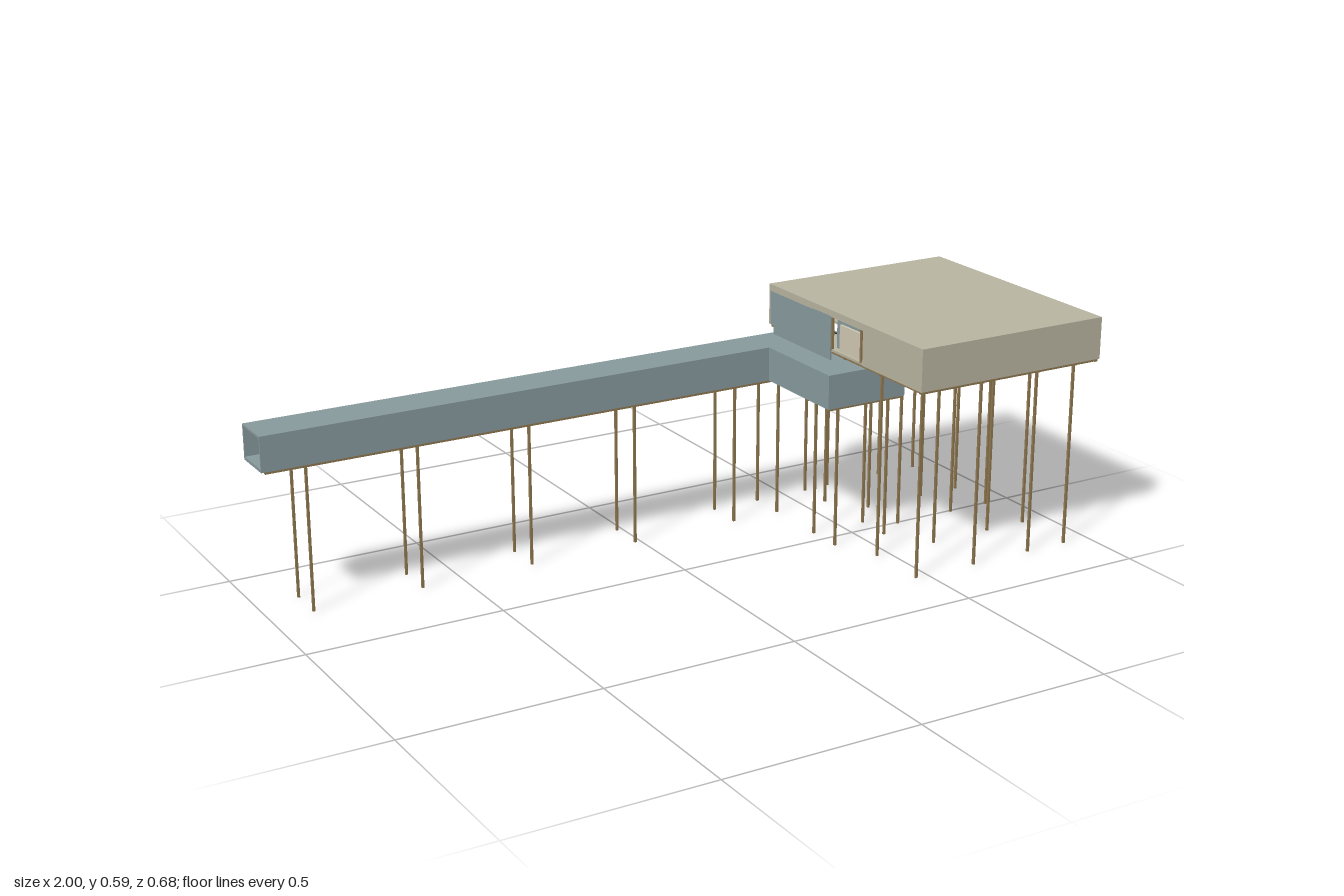
import * as THREE from 'three';

export function createModel() {
  const model = new THREE.Group();
  const mat = (name, color, side = THREE.FrontSide) => {
    const m = new THREE.MeshStandardMaterial({ color, side });
    m.name = name;
    return m;
  };
  const stone = mat('stone beige', 0xb8b3a0);
  const glass = mat('glass blue grey', 0x87999c);
  const wood = mat('timber', 0x8f7750);
  const red = mat('red brown deck', 0x6e3b2b);
  const cream = mat('cream panel', 0xcfc6b2);
  const dark = mat('dark rail', 0x3a2a20);

  const add = (name, geo, material, parent = model) => {
    const m = new THREE.Mesh(geo, material);
    m.name = name;
    parent.add(m);
    return m;
  };
  // Box given by its extents on each axis
  const box = (name, material, x0, x1, y0, y1, z0, z1, parent = model) => {
    const m = add(name, new THREE.BoxGeometry(x1 - x0, y1 - y0, z1 - z0), material, parent);
    m.position.set((x0 + x1) / 2, (y0 + y1) / 2, (z0 + z1) / 2);
    return m;
  };
  // Horizontal slab from an x,z outline with an optional hole
  const slab = (name, material, outline, y0, y1, hole, parent = model) => {
    const pts = (a) => a.map(([x, z]) => new THREE.Vector2(x, -z));
    const shape = new THREE.Shape(pts(outline));
    if (hole) shape.holes.push(new THREE.Path(pts(hole)));
    const geo = new THREE.ExtrudeGeometry(shape, { depth: y1 - y0, bevelEnabled: false });
    geo.rotateX(-Math.PI / 2);
    const m = add(name, geo, material, parent);
    m.position.y = y0;
    return m;
  };
  const rect = (x0, x1, z0, z1) => [[x0, z0], [x0, z1], [x1, z1], [x1, z0]];
  const group = (name) => {
    const g = new THREE.Group();
    g.name = name;
    model.add(g);
    return g;
  };

  // L-shaped glazed walkway, open at the far end
  const walk = group('walkway');
  const L = [[-1, -0.33], [-1, -0.22], [0.38, -0.22], [0.38, 0.057], [0.61, 0.057], [0.61, -0.33]];
  const stairHole = rect(0.54, 0.604, -0.315, -0.055);
  slab('walkwayFloor', glass, L, 0.37, 0.378, null, walk);
  slab('walkwayRoof', glass, L, 0.454, 0.459, stairHole, walk);
  const t = 0.004;
  box('walkwayBackWall', glass, -1, 0.61, 0.37, 0.458, -0.33, -0.33 + t, walk);
  box('walkwayFrontWall', glass, -1, 0.38, 0.37, 0.458, -0.22 - t, -0.22, walk);
  box('wingInnerWall', glass, 0.38, 0.38 + t, 0.37, 0.458, -0.224, 0.057, walk);
  box('wingFrontWall', glass, 0.38, 0.61, 0.37, 0.458, 0.057 - t, 0.057, walk);
  box('wingOuterWall', glass, 0.61 - t, 0.61, 0.37, 0.458, -0.33, 0.057, walk);

  // Timber frame below the walkway
  for (const z of [-0.322, -0.225]) {
    box('walkwayBeam', wood, -0.99, 0.605, 0.364, 0.37, z - 0.003, z + 0.003, walk);
  }
  for (const z of [-0.047, 0.05]) {
    box('wingBeam', wood, 0.385, 0.605, 0.364, 0.37, z - 0.003, z + 0.003, walk);
  }
  for (const x of [0.41, 0.565]) {
    box('wingCrossBeam', wood, x - 0.003, x + 0.003, 0.364, 0.37, -0.325, 0.055, walk);
  }

  // House shell
  const house = group('house');
  slab('houseFloor', stone, rect(0.457, 0.998, -0.338, 0.338), 0.482, 0.488, stairHole, house);
  box('houseRoof', stone, 0.455, 1, 0.572, 0.59, -0.34, 0.34, house);
  box('houseFrontWall', stone, 0.455, 1, 0.482, 0.58, 0.334, 0.34, house);
  box('houseBackWall', stone, 0.455, 1, 0.482, 0.58, -0.34, -0.334, house);
  box('houseSideWall', stone, 0.455, 0.461, 0.482, 0.58, 0.09, 0.338, house);

  // Large window on the left side with its deck and mullions
  box('leftWindow', glass, 0.982, 0.986, 0.488, 0.574, -0.335, 0.335, house);
  box('deckEdge', red, 0.975, 0.999, 0.487, 0.502, -0.338, 0.338, house);
  for (const z of [-0.333, -0.14, 0.195, 0.333]) {
    box('mullion', wood, 0.985, 0.991, 0.5, 0.573, z - 0.002, z + 0.002, house);
  }

  // Entrance side: stair glazing, cream panel and doorway frame
  box('stairGlazing', glass, 0.455, 0.459, 0.458, 0.574, -0.318, -0.052, house);
  box('glazingCorner', glass, 0.455, 0.459, 0.482, 0.574, -0.334, -0.318, house);
  box('entranceWindow', glass, 0.475, 0.479, 0.488, 0.574, -0.052, 0.09, house);
  box('entrancePanel', cream, 0.468, 0.475, 0.488, 0.555, -0.03, 0.06, house);
  for (const z of [-0.05, 0.078]) {
    box('entranceFrame', wood, 0.457, 0.463, 0.484, 0.573, z - 0.003, z + 0.003, house);
  }

  // Stair from the wing up into the house
  const stair = group('stair');
  const steps = 9;
  for (let i = 0; i < steps; i++) {
    const z = -0.3 + (i / steps) * 0.24;
    const y = 0.378 + ((i + 1) / steps) * 0.106;
    box('step', cream, 0.545, 0.6, y - 0.014, y, z, z + 0.03, stair);
  }
  for (const x of [0.546, 0.599]) {
    const path = new THREE.CurvePath();
    const p = [[0.458, -0.31], [0.458, -0.24], [0.482, -0.165]].map(([y, z]) => new THREE.Vector3(x, y, z));
    path.add(new THREE.LineCurve3(p[0], p[1]));
    path.add(new THREE.LineCurve3(p[1], p[2]));
    add('stairRail', new THREE.TubeGeometry(path, 12, 0.002, 4), dark, stair);
  }

  // Timber grid below the house
  const rowsX = [0.465, 0.64, 0.81, 0.925];
  const rowsZ = [-0.328, -0.13, 0.005, 0.163, 0.331];
  for (const x of [...rowsX, 0.99]) {
    box('houseBeam', wood, x - 0.004, x + 0.004, 0.475, 0.482, -0.338, 0.338, house);
  }
  for (const z of rowsZ) {
    box('houseCrossBeam', wood, 0.458, 0.998, 0.475, 0.482, z - 0.004, z + 0.004, house);
  }

  // Slender square posts
  const posts = group('posts');
  const post = (x, z, top) => box('post', wood, x - 0.003, x + 0.003, 0, top, z - 0.003, z + 0.003, posts);
  for (const x of [-0.89, -0.607, -0.31, -0.015, 0.28]) {
    for (const z of [-0.322, -0.225]) post(x, z, 0.366);
  }
  for (const x of [0.413, 0.565]) {
    for (const z of [-0.322, -0.225, -0.047, 0.05]) post(x, z, 0.366);
  }
  for (const x of rowsX) {
    for (const z of rowsZ) {
      const overWing = x < 0.61 && z < 0.06;
      if (!overWing) post(x, z, 0.478);
    }
  }
  return model;
}
